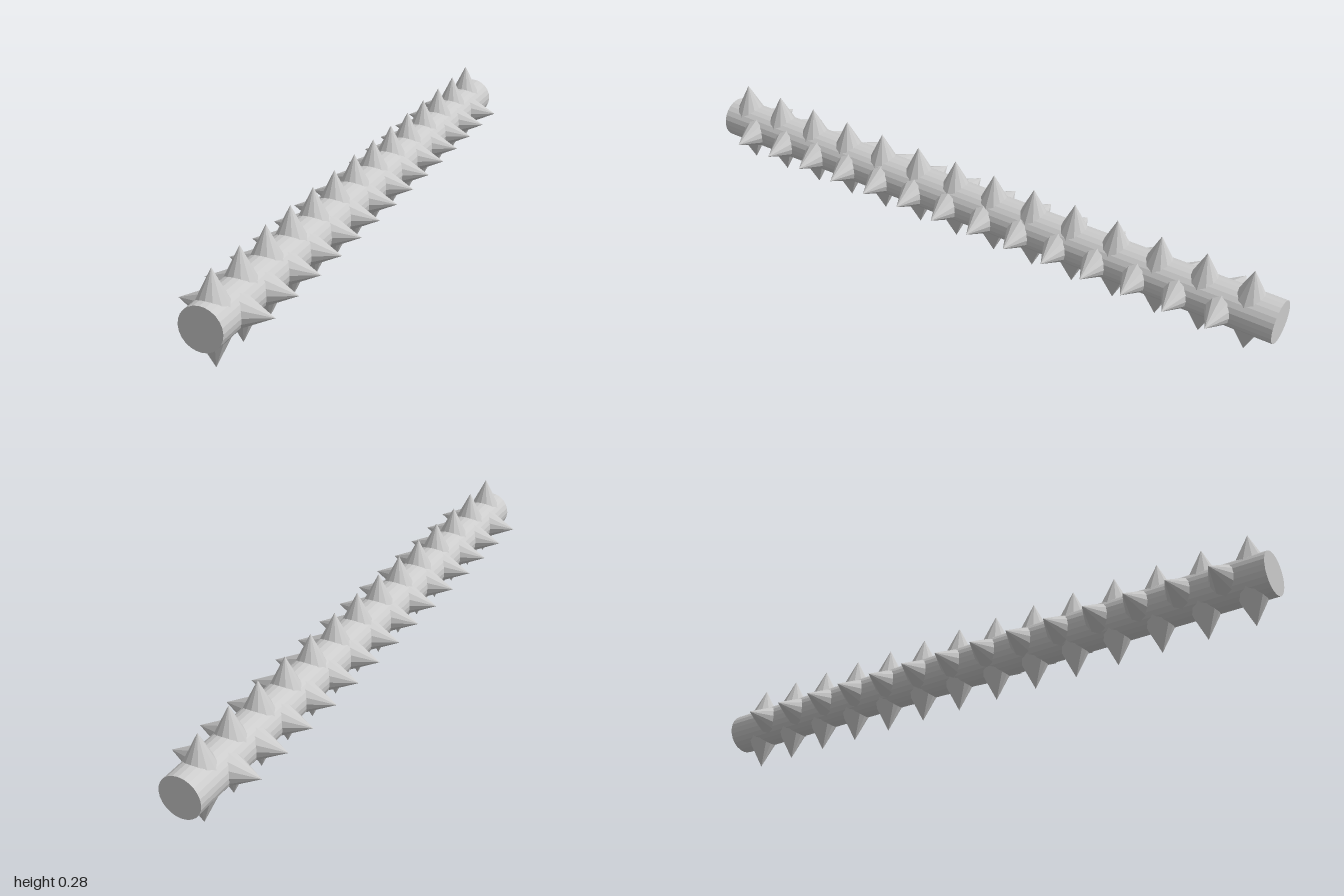
import * as THREE from 'three';

const AXIS_Y = 0.141;   // height of the rod's centre line
const TIP = 0.141;      // spike tip distance from the centre line
const BASE = 0.035;     // spike base, sunk inside the rod
const COUNT = 14;       // spikes per row

export function createModel() {
  const model = new THREE.Group();
  model.name = 'spikedRod';
  const grey = new THREE.MeshStandardMaterial({ color: 0xcccccc, flatShading: true });

  // Rod lying along z
  const rod = new THREE.Mesh(new THREE.CylinderGeometry(0.065, 0.065, 2, 24), grey);
  rod.name = 'rod';
  rod.rotation.x = Math.PI / 2;
  rod.position.y = AXIS_Y;
  model.add(rod);

  // One spike pointing outward from the centre line
  const spike = new THREE.ConeGeometry(0.053, TIP - BASE, 12);
  spike.translate(0, (TIP + BASE) / 2, 0);

  // Four rows of spikes; the side rows are offset and spaced more closely
  const vertical = [0.935, -0.906];
  const sideways = [0.873, -0.836];
  const rows = [
    ['topSpikes', 0, vertical],
    ['leftSpikes', -Math.PI / 2, sideways],
    ['bottomSpikes', Math.PI, vertical],
    ['rightSpikes', Math.PI / 2, sideways],
  ];
  for (const [name, angle, [zFront, zBack]] of rows) {
    const row = new THREE.Group();
    row.name = name;
    row.position.y = AXIS_Y;
    row.rotation.z = angle;
    for (let i = 0; i < COUNT; i++) {
      const mesh = new THREE.Mesh(spike, grey);
      mesh.name = 'spike';
      mesh.position.z = THREE.MathUtils.lerp(zFront, zBack, i / (COUNT - 1));
      row.add(mesh);
    }
    model.add(row);
  }
  return model;
}
